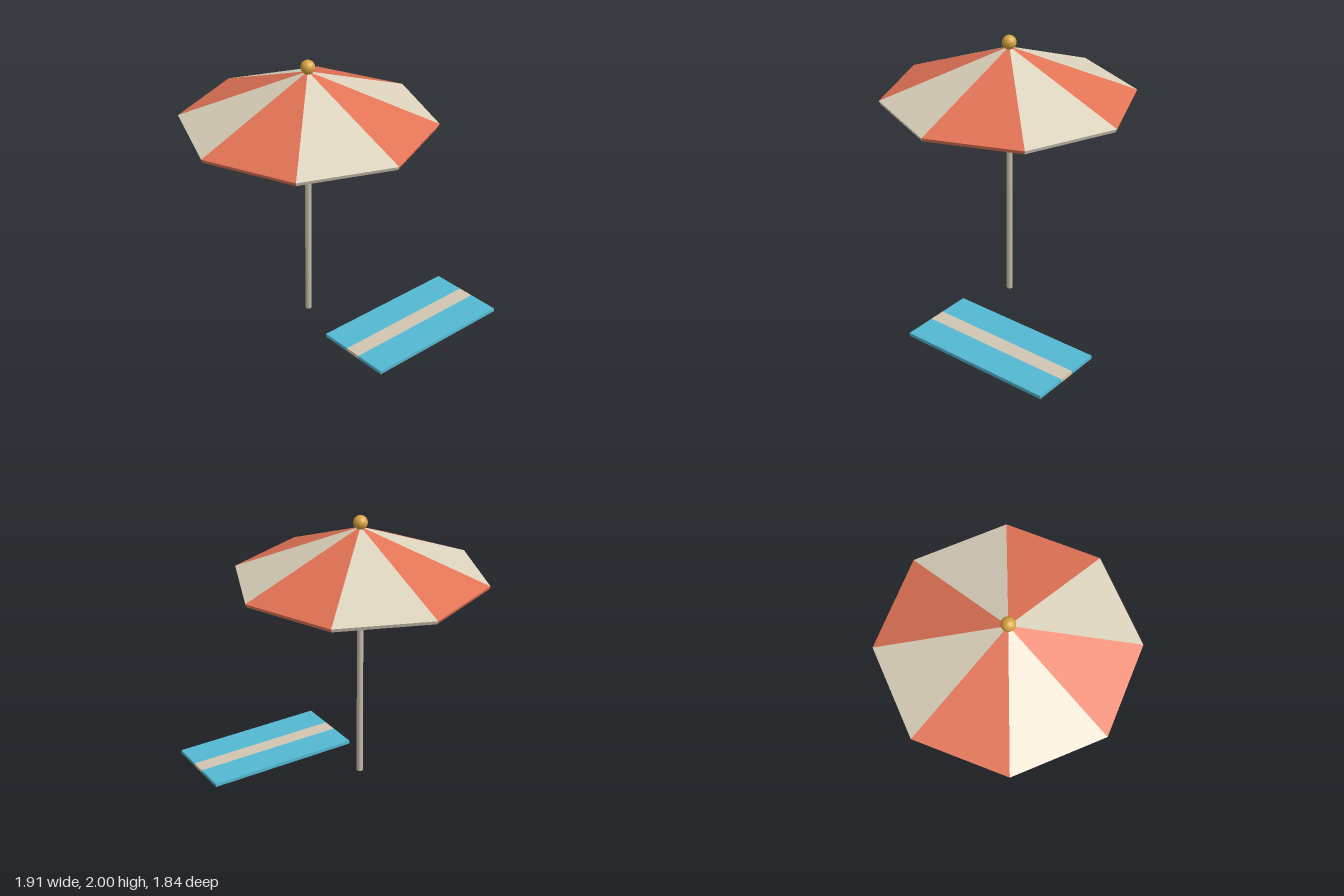
import * as THREE from 'three';

const paint = (name, color) => {
  const m = new THREE.MeshStandardMaterial({ color });
  m.name = name;
  return m;
};

export function createModel() {
  const coral = paint('coral canvas', 0xe27355);
  const cream = paint('cream canvas', 0xdcd2bd);
  const blue = paint('blue towel', 0x53b9d2);
  const sand = paint('towel stripe', 0xd2c6b2);
  const wood = paint('pole', 0xc8bfad);
  const gold = paint('gold finial', 0xd9a441);

  const model = new THREE.Group();
  model.name = 'parasolAndTowel';
  const add = (parent, name, geometry, material, x = 0, y = 0, z = 0) => {
    const mesh = new THREE.Mesh(geometry, material);
    mesh.name = name;
    mesh.position.set(x, y, z);
    parent.add(mesh);
  };

  // Parasol: pole, finial and canopy share one axis
  const parasol = new THREE.Group();
  parasol.name = 'parasol';
  parasol.position.set(-0.055, 0, -0.02);
  model.add(parasol);
  add(parasol, 'pole', new THREE.CylinderGeometry(0.023, 0.023, 1.9, 12), wood, 0, 0.95, 0);
  add(parasol, 'finial', new THREE.SphereGeometry(0.05, 24, 16), gold, 0, 1.95, 0);

  // Canopy: eight flat panels, each with an outer face, inner face and rim
  const canopy = new THREE.Group();
  canopy.name = 'canopy';
  parasol.add(canopy);
  const sides = 8;
  const rimPoint = (i, r, y) => {
    const a = (i / sides) * Math.PI * 2;
    return new THREE.Vector3(r * Math.cos(a), y, r * Math.sin(a));
  };
  const top = new THREE.Vector3(0, 1.92, 0);
  const under = new THREE.Vector3(0, 1.89, 0);
  for (let i = 0; i < sides; i++) {
    const a = rimPoint(i, 0.9, 1.56), b = rimPoint(i + 1, 0.9, 1.56);
    const c = rimPoint(i, 0.89, 1.535), d = rimPoint(i + 1, 0.89, 1.535);
    const panel = new THREE.BufferGeometry().setFromPoints([
      top, b, a,
      under, c, d,
      a, b, d, a, d, c,
    ]);
    panel.computeVertexNormals();
    add(canopy, 'canopyPanel', panel, i % 2 ? coral : cream);
  }

  // Towel: two blue bands with a pale stripe between them
  const towel = new THREE.Group();
  towel.name = 'towel';
  model.add(towel);
  const band = (name, z0, z1, material) =>
    add(towel, name, new THREE.BoxGeometry(1.155, 0.025, z1 - z0), material, 0.378, 0.0125, (z0 + z1) / 2);
  band('towelBackBand', 0.345, 0.572, blue);
  band('towelStripe', 0.572, 0.69, sand);
  band('towelFrontBand', 0.69, 0.92, blue);

  return model;
}
